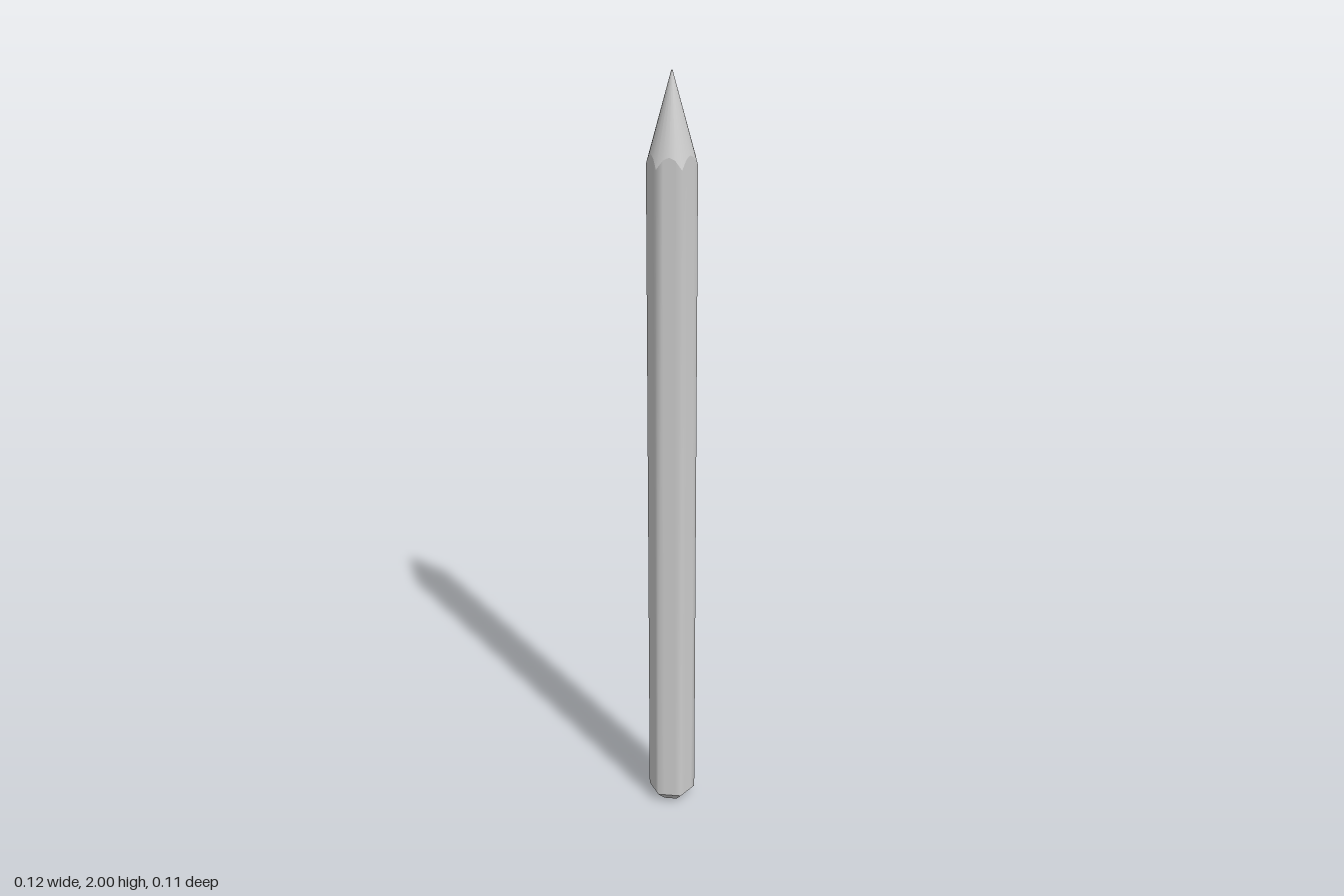
import * as THREE from 'three';
import { mergeVertices } from 'three/addons/utils/BufferGeometryUtils.js';

const R = 0.062;          // corner radius of the hexagonal barrel
const TIP_SLOPE = 3.6;    // height of the sharpened cone per unit of radius
const material = new THREE.MeshStandardMaterial({ color: 0xcccccc });

// Distance from the axis to a unit hexagon with corners on the x axis
function hexRadius(angle) {
  const step = Math.PI / 3;
  const a = ((angle % step) + step) % step;
  return Math.cos(step / 2) / Math.cos(a - step / 2);
}

// The cone cuts the flats higher than the corners, giving a scalloped edge
const coneY = (r) => 2 - r * TIP_SLOPE;

// Open hexagonal sleeve; each end has a corner radius and a height rule
function sleeve(name, bottomR, bottomY, topR, topY) {
  const geo = new THREE.CylinderGeometry(1, 1, 1, 24, 1, true);
  const pos = geo.attributes.position;
  for (let i = 0; i < pos.count; i++) {
    const top = pos.getY(i) > 0;
    const angle = Math.atan2(pos.getZ(i), pos.getX(i));
    const r = hexRadius(angle) * (top ? topR : bottomR);
    pos.setXYZ(i, r * Math.cos(angle), (top ? topY : bottomY)(r), r * Math.sin(angle));
  }
  geo.deleteAttribute('uv');
  geo.deleteAttribute('normal');
  const smooth = mergeVertices(geo, 1e-5);
  smooth.computeVertexNormals();
  const mesh = new THREE.Mesh(smooth, material);
  mesh.name = name;
  return mesh;
}

export function createModel() {
  const group = new THREE.Group();
  group.name = 'pencil';

  const shoulder = () => 0.027;
  group.add(sleeve('barrel', R, shoulder, R, coneY));
  group.add(sleeve('sharpenedTip', R, coneY, 0.0015, () => 2));
  group.add(sleeve('endChamfer', 0.034, () => 0, R, shoulder));

  // Flat bottom and tiny blunt point
  const base = new THREE.Mesh(new THREE.CircleGeometry(0.034, 6).rotateX(Math.PI / 2), material);
  base.name = 'endFace';
  const point = new THREE.Mesh(new THREE.CircleGeometry(0.0015, 6).rotateX(-Math.PI / 2), material);
  point.name = 'leadPoint';
  point.position.y = 2;
  group.add(base, point);
  return group;
}
